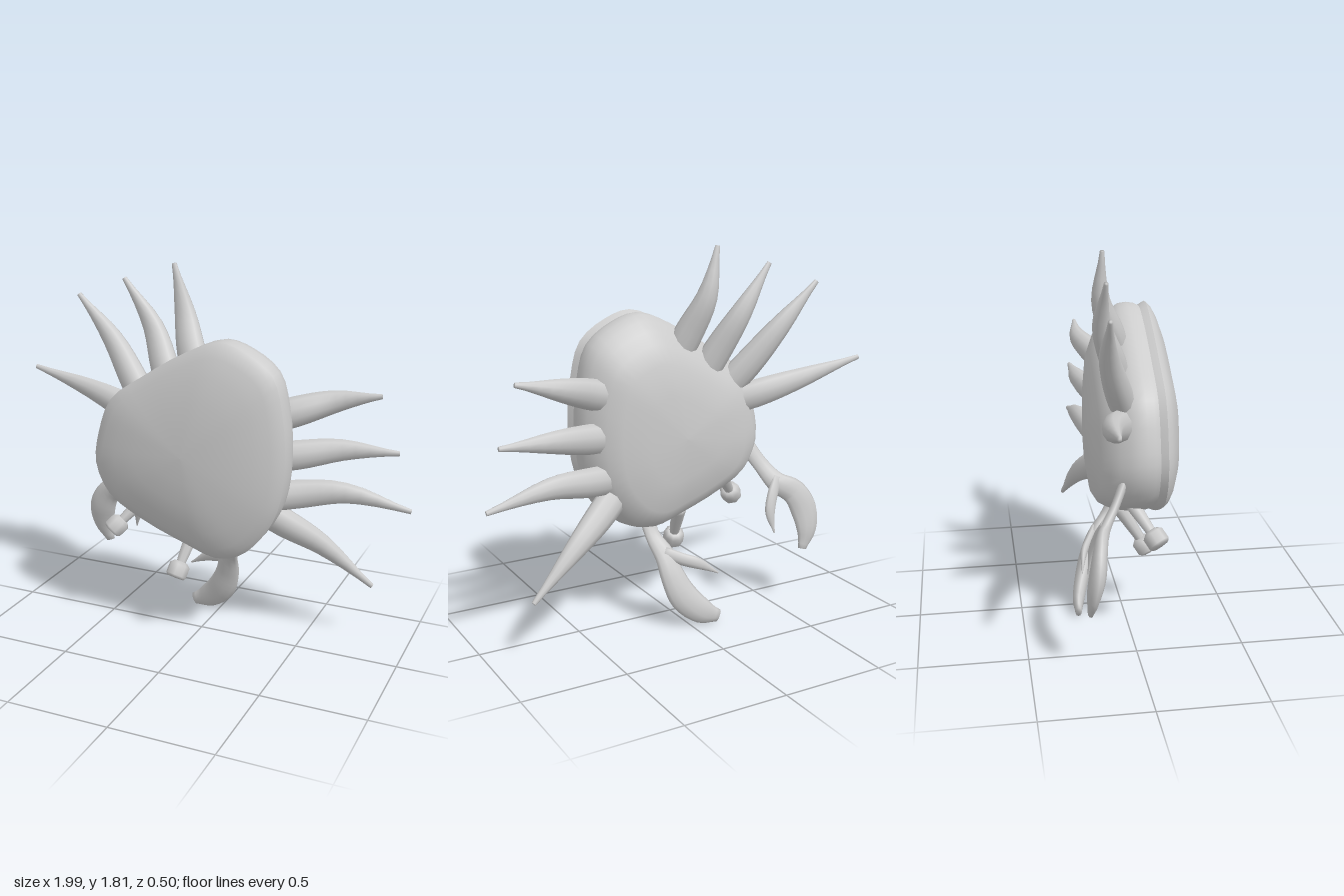
import * as THREE from 'three';

const material = new THREE.MeshStandardMaterial({ color: 0xcccccc, side: THREE.DoubleSide });

// Skin a list of closed rings with smooth normals
function loft(name, rings) {
  const n = rings[0].length, pos = [], index = [];
  rings.forEach(ring => ring.forEach(p => pos.push(p.x, p.y, p.z)));
  for (let i = 0; i < rings.length - 1; i++) {
    for (let j = 0; j < n; j++) {
      const a = i * n + j, b = i * n + (j + 1) % n;
      index.push(a, b, a + n, b, b + n, a + n);
    }
  }
  const g = new THREE.BufferGeometry();
  g.setAttribute('position', new THREE.Float32BufferAttribute(pos, 3));
  g.setIndex(index);
  g.computeVertexNormals();
  const mesh = new THREE.Mesh(g, material);
  mesh.name = name;
  return mesh;
}

// Tapered limb through stations [x, y, z, radius]; flat squashes its depth
function limb(name, stations, flat = 1, sides = 10) {
  const path = new THREE.CatmullRomCurve3(stations.map(s => new THREE.Vector3(s[0], s[1], s[2])));
  const radii = new THREE.SplineCurve(stations.map((s, i) => new THREE.Vector2(i, s[3])));
  const steps = (stations.length - 1) * 4, rings = [];
  const ringAt = (u, scale) => {
    const c = path.getPoint(u), t = path.getTangent(u);
    const side = new THREE.Vector3().crossVectors(t, new THREE.Vector3(0, 0, 1)).normalize();
    const up = new THREE.Vector3().crossVectors(t, side);
    const r = Math.max(radii.getPoint(u).y, 0.004) * scale;
    return Array.from({ length: sides }, (_, j) => {
      const a = j / sides * Math.PI * 2;
      return c.clone().addScaledVector(side, r * Math.cos(a)).addScaledVector(up, r * flat * Math.sin(a));
    });
  };
  rings.push(ringAt(0, 0.001));
  for (let i = 0; i <= steps; i++) rings.push(ringAt(i / steps, 1));
  rings.push(ringAt(1, 0.001));
  return loft(name, rings);
}

// Carapace outline, clockwise from the top
const outline = new THREE.CatmullRomCurve3([
  [0.14, 1.51], [0.27, 1.475], [0.4, 1.38], [0.45, 1.22], [0.47, 0.97], [0.44, 0.75], [0.36, 0.6],
  [0.25, 0.495], [0.13, 0.465], [-0.02, 0.51], [-0.25, 0.6], [-0.43, 0.71], [-0.5, 0.86],
  [-0.48, 1.02], [-0.41, 1.19], [-0.25, 1.31], [-0.02, 1.45],
].map(([x, y]) => new THREE.Vector3(x, y, 0)), true).getPoints(51).slice(0, -1);

// Body ring: the outline scaled about its middle at depth z, optionally lowered
const bodyRing = ([s, z, drop = 0]) =>
  outline.map(p => new THREE.Vector3(p.x * s, 0.98 - drop + (p.y - 0.98) * s, z));

export function createModel() {
  const crab = new THREE.Group();
  crab.name = 'crab';

  // Domed shell with a sharp rim, and the rounded body behind it
  crab.add(loft('shell', [[0.001, 0.25], [0.25, 0.247], [0.5, 0.234], [0.72, 0.212], [0.88, 0.184],
    [0.96, 0.162], [1, 0.14]].map(bodyRing)));
  crab.add(loft('shellRim', [[1, 0.14], [0.985, 0.125], [0.965, 0.108]].map(bodyRing)));
  crab.add(loft('body', [[0.965, 0.108], [0.985, 0.085], [0.995, 0.05], [0.985, 0.01], [0.955, -0.025, 0.01],
    [0.9, -0.065, 0.025], [0.82, -0.105, 0.04], [0.68, -0.14, 0.05], [0.4, -0.165, 0.05],
    [0.001, -0.172, 0.05]].map(bodyRing)));

  // Walking legs: four along each side
  const legs = {
    leftLeg: [
      [[0.28, 1.12, 0], [0.45, 1.175, -0.06], [0.62, 1.225, -0.13], [0.83, 1.27, -0.13]],
      [[0.28, 0.94, 0], [0.46, 0.965, -0.06], [0.66, 0.995, -0.13], [0.92, 1.005, -0.15]],
      [[0.28, 0.74, 0], [0.46, 0.765, -0.075], [0.68, 0.785, -0.13], [0.99, 0.73, -0.155]],
      [[0.25, 0.72, 0], [0.4, 0.61, -0.075], [0.57, 0.495, -0.15], [0.81, 0.295, -0.21]],
    ],
    rightLeg: [
      [[-0.01, 1.25, 0], [-0.075, 1.41, -0.05], [-0.135, 1.58, -0.11], [-0.19, 1.81, -0.11]],
      [[-0.12, 1.1, 0], [-0.22, 1.31, -0.065], [-0.315, 1.5, -0.13], [-0.465, 1.72, -0.13]],
      [[-0.25, 1.06, 0], [-0.39, 1.23, -0.07], [-0.54, 1.42, -0.13], [-0.73, 1.62, -0.15]],
      [[-0.26, 1.03, 0], [-0.44, 1.085, -0.08], [-0.66, 1.145, -0.13], [-1.0, 1.225, -0.155]],
    ],
  };
  const taper = [0.07, 0.072, 0.052, 0.012];
  for (const [name, paths] of Object.entries(legs)) {
    paths.forEach((path, i) =>
      crab.add(limb(name + (i + 1), path.map((p, k) => [...p, taper[k]]), 0.85)));
  }

  // Claws: a slim arm swelling into a curved finger, with a short thumb
  const claws = {
    rightClaw: [
      [[-0.39, 0.85, -0.03, 0.045], [-0.46, 0.73, -0.09, 0.04], [-0.525, 0.635, -0.15, 0.052],
        [-0.61, 0.58, -0.18, 0.064], [-0.662, 0.48, -0.2, 0.074], [-0.665, 0.38, -0.22, 0.058],
        [-0.635, 0.29, -0.23, 0.025]],
      [[-0.53, 0.66, -0.15, 0.03], [-0.48, 0.58, -0.18, 0.03], [-0.455, 0.5, -0.2, 0.027], [-0.47, 0.4, -0.22, 0.004]],
    ],
    leftClaw: [
      [[0.14, 0.58, 0, 0.045], [0.13, 0.45, -0.055, 0.038], [0.095, 0.355, -0.12, 0.052],
        [0.075, 0.26, -0.16, 0.062], [0.03, 0.155, -0.19, 0.072], [-0.06, 0.07, -0.22, 0.06],
        [-0.14, 0.035, -0.23, 0.032]],
      [[0.1, 0.37, -0.12, 0.03], [0.02, 0.335, -0.16, 0.03], [-0.05, 0.31, -0.19, 0.027], [-0.15, 0.25, -0.21, 0.004]],
    ],
  };
  for (const [name, [finger, thumb]] of Object.entries(claws)) {
    const claw = new THREE.Group();
    claw.name = name;
    claw.add(limb('armAndFinger', finger, 0.5), limb('thumb', thumb, 0.6));
    crab.add(claw);
  }

  // Eyes: faceted knobs on slim stalks
  const eyes = {
    rightEye: [[-0.27, 0.7, -0.02], [-0.415, 0.53, 0.1]],
    leftEye: [[-0.04, 0.55, -0.02], [-0.08, 0.35, 0.105]],
  };
  for (const [name, [root, tip]] of Object.entries(eyes)) {
    const a = new THREE.Vector3(...root), b = new THREE.Vector3(...tip);
    const eye = new THREE.Group();
    eye.name = name;
    const mid = a.clone().lerp(b, 0.5);
    eye.add(limb('stalk', [[...root, 0.038], [...mid.toArray(), 0.03], [...tip, 0.022]], 1, 8));
    const profile = [[0, -0.042], [0.032, -0.042], [0.052, -0.025], [0.052, 0.028], [0.042, 0.04], [0, 0.042]];
    const knob = new THREE.Mesh(
      new THREE.LatheGeometry(profile.map(p => new THREE.Vector2(...p)), 8), material);
    knob.name = 'eyeball';
    knob.position.copy(b);
    knob.quaternion.setFromUnitVectors(new THREE.Vector3(0, 1, 0), b.clone().sub(a).normalize());
    eye.add(knob);
    crab.add(eye);
  }
  return crab;
}
